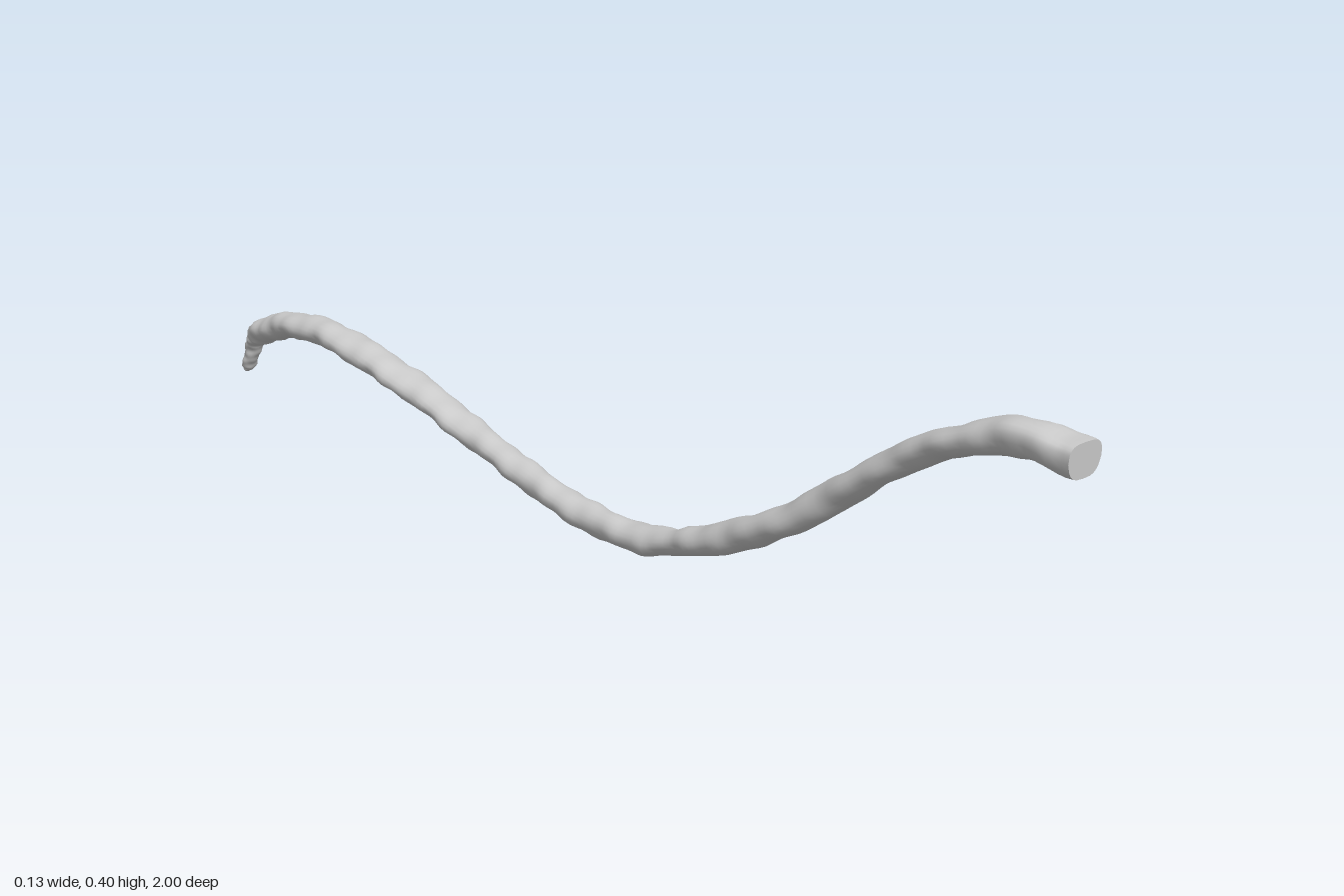
import * as THREE from 'three';

// Stations along the stem, front to back: z, x, y, half width, half height
const STATIONS = [
  [1.00, -0.015, 0.381, 0.033, 0.025], [0.90, -0.014, 0.385, 0.034, 0.025],
  [0.80, -0.012, 0.354, 0.033, 0.022], [0.70, -0.012, 0.302, 0.031, 0.022],
  [0.60, -0.017, 0.230, 0.030, 0.023], [0.50, -0.029, 0.158, 0.030, 0.024],
  [0.40, -0.036, 0.106, 0.029, 0.024], [0.30, -0.034, 0.066, 0.028, 0.023],
  [0.20, -0.031, 0.039, 0.028, 0.023], [0.10, -0.029, 0.034, 0.027, 0.023],
  [0.00, -0.026, 0.042, 0.027, 0.022], [-0.10, -0.018, 0.056, 0.027, 0.021],
  [-0.20, -0.008, 0.072, 0.028, 0.020], [-0.30, 0.000, 0.090, 0.032, 0.020],
  [-0.40, 0.003, 0.114, 0.035, 0.020], [-0.50, 0.003, 0.133, 0.036, 0.021],
  [-0.60, 0.004, 0.149, 0.035, 0.022], [-0.70, 0.008, 0.156, 0.034, 0.022],
  [-0.80, 0.014, 0.146, 0.033, 0.023], [-0.88, 0.023, 0.124, 0.035, 0.024],
  [-0.94, 0.027, 0.098, 0.032, 0.023], [-0.960, 0.025, 0.078, 0.019, 0.014],
  [-0.975, 0.025, 0.050, 0.016, 0.012], [-0.988, 0.025, 0.024, 0.014, 0.010],
  [-0.994, 0.025, 0.014, 0.007, 0.005],
];
const STEPS = 200, SIDES = 20;

// Gentle lumps that vary along and around the stem
const lump = (t, a) => 1 + 0.05 * Math.sin(95 * t + 2 * a) + 0.04 * Math.sin(171 * t - 3 * a + 1)
  + 0.03 * Math.sin(260 * t + a);

function stemGeometry() {
  const path = new THREE.CatmullRomCurve3(STATIONS.map(([z, x, y]) => new THREE.Vector3(x, y, z)));
  const size = new THREE.CatmullRomCurve3(STATIONS.map(s => new THREE.Vector3(s[3], s[4], 0)));
  const pos = [], index = [];
  const ring = (i) => {
    const t = i / STEPS, c = path.getPoint(t), d = path.getTangent(t), r = size.getPoint(t);
    const up = new THREE.Vector3(1, 0, 0).cross(d).normalize();
    if (up.y < 0) up.negate();
    const round = 0.6 + 0.4 * Math.min(1, t * 8); // squarer towards the cut front end
    for (let j = 0; j < SIDES; j++) {
      const a = j / SIDES * Math.PI * 2, k = i === 0 ? 1 : lump(t, a);
      const u = Math.sign(Math.cos(a)) * Math.abs(Math.cos(a)) ** round * r.x * k;
      const v = Math.sign(Math.sin(a)) * Math.abs(Math.sin(a)) ** round * r.y * k;
      const taper = round < 1 && v < 0 ? 1 + 0.2 * v / r.y : 1; // narrower underside
      pos.push(c.x + u * taper, c.y + up.y * v, c.z + up.z * v);
    }
  };
  for (let i = 0; i <= STEPS; i++) ring(i);
  for (let i = 0; i < STEPS; i++) for (let j = 0; j < SIDES; j++) {
    const a = i * SIDES + j, b = i * SIDES + (j + 1) % SIDES;
    index.push(a, a + SIDES, b, b, a + SIDES, b + SIDES);
  }
  // Rounded tail tip
  const tip = path.getPoint(1), last = STEPS * SIDES, tipId = pos.length / 3;
  pos.push(tip.x, tip.y - 0.004, tip.z - 0.004);
  for (let j = 0; j < SIDES; j++) index.push(tipId, last + (j + 1) % SIDES, last + j);
  // Flat front end, with its own vertices so the rim stays sharp
  const rim = pos.length / 3, start = path.getPoint(0);
  pos.push(...pos.slice(0, SIDES * 3), start.x, start.y, start.z);
  for (let j = 0; j < SIDES; j++) index.push(rim + SIDES, rim + j, rim + (j + 1) % SIDES);

  const geo = new THREE.BufferGeometry();
  geo.setAttribute('position', new THREE.Float32BufferAttribute(pos, 3));
  geo.setIndex(index);
  geo.computeVertexNormals();
  return geo;
}

export function createModel() {
  const group = new THREE.Group();
  group.name = 'stem';
  const stem = new THREE.Mesh(stemGeometry(), new THREE.MeshStandardMaterial({ color: 0xcccccc }));
  stem.name = 'curvedStem';
  group.add(stem);
  // Stand the lowest point on the ground
  stem.geometry.computeBoundingBox();
  stem.position.y = -stem.geometry.boundingBox.min.y;
  return group;
}
